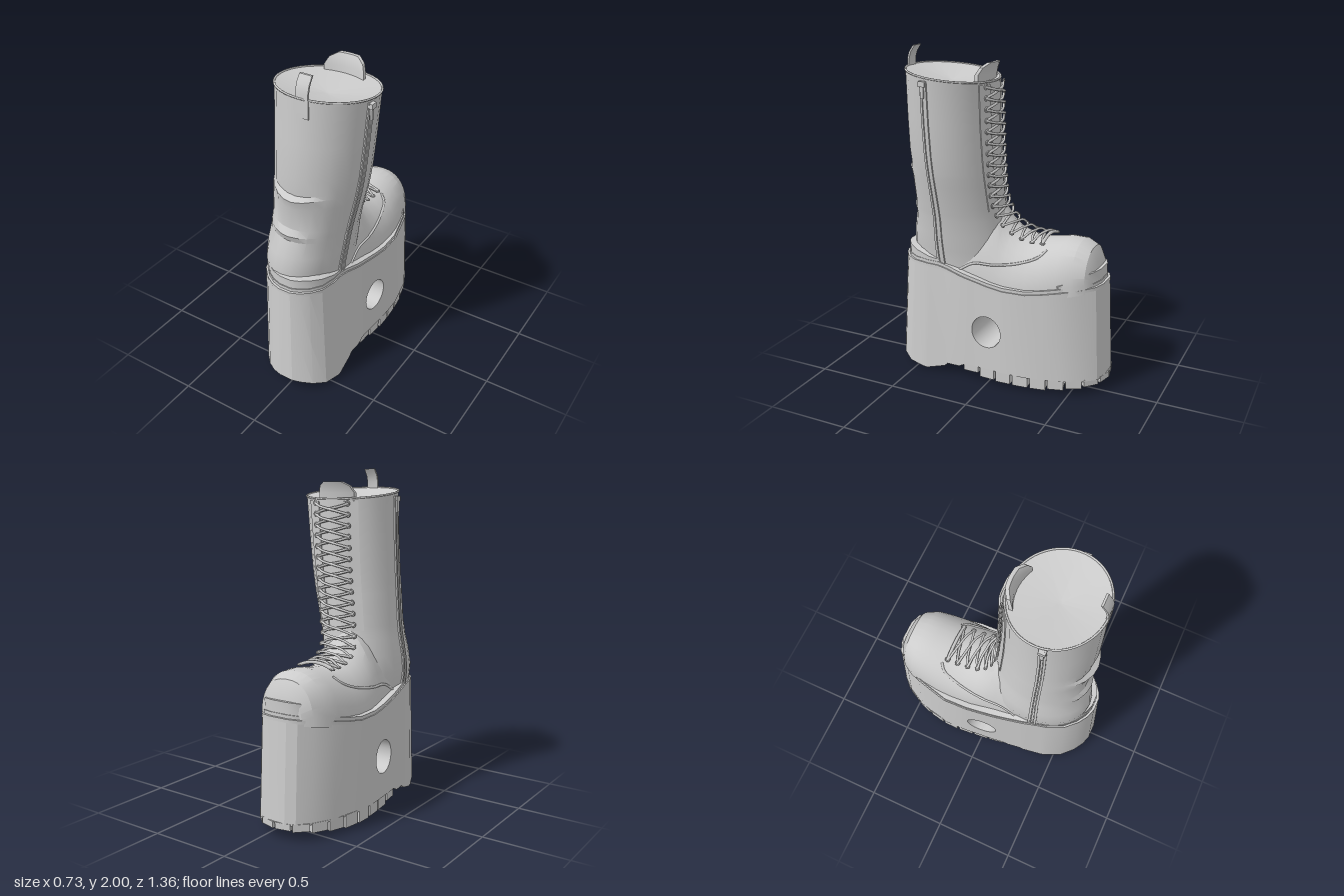
import * as THREE from 'three';
import { toCreasedNormals } from 'three/addons/utils/BufferGeometryUtils.js';

const V = (x, y, z) => new THREE.Vector3(x, y, z);
const { smoothstep, clamp } = THREE.MathUtils;
const leather = new THREE.MeshStandardMaterial({ color: 0xcccccc });
leather.name = 'light grey leather';

// Row of a table interpolated at t (first column ascending)
function row(table, t) {
  let i = 0;
  while (i < table.length - 2 && t > table[i + 1][0]) i++;
  const a = table[i], b = table[i + 1];
  const k = clamp((t - a[0]) / (b[0] - a[0]), 0, 1);
  return a.map((v, j) => v + (b[j] - v) * k);
}

// Geometry from a list of triangle corners, turned outward by its signed volume
function solid(pts, crease = 0.6) {
  let vol = 0;
  for (let i = 0; i < pts.length; i += 3) vol += pts[i].dot(V().crossVectors(pts[i + 1], pts[i + 2]));
  if (vol < 0) for (let i = 0; i < pts.length; i += 3) [pts[i], pts[i + 1]] = [pts[i + 1], pts[i]];
  const g = new THREE.BufferGeometry().setFromPoints(pts);
  return toCreasedNormals(g, crease);
}
const quad = (out, a, b, c, d, flip) => (flip ? out.push(a, c, b, a, d, c) : out.push(a, b, c, a, c, d));

// Skin over rings of equal length, capped at both ends or closed into a loop
function loft(rings, loop = false, crease) {
  const out = [], n = rings[0].length, m = rings.length;
  for (let i = 0; i < (loop ? m : m - 1); i++)
    for (let j = 0; j < n; j++) {
      const A = rings[i], B = rings[(i + 1) % m], k = (j + 1) % n;
      quad(out, A[j], A[k], B[k], B[j]);
    }
  if (!loop) [rings[0], rings[m - 1]].forEach((r, e) => {
    const c = r.reduce((s, p) => s.add(p), V(0, 0, 0)).divideScalar(n);
    r.forEach((p, j) => (e ? out.push(c, p, r[(j + 1) % n]) : out.push(c, r[(j + 1) % n], p)));
  });
  return solid(out, crease);
}

// Sole outline: z, right x, left x
const SOLE = [[-0.675, -0.14, -0.02], [-0.65, -0.2, 0.05], [-0.58, -0.26, 0.11], [-0.46, -0.325, 0.17], [-0.25, -0.37, 0.215],
  [-0.1, -0.365, 0.22], [0.1, -0.345, 0.21], [0.3, -0.315, 0.21], [0.45, -0.28, 0.22], [0.55, -0.235, 0.2],
  [0.62, -0.17, 0.15], [0.66, -0.11, 0.09], [0.68, -0.05, 0.04]];
const SOLE_TOP = [[-0.68, 0.675], [-0.5, 0.65], [-0.3, 0.615], [-0.15, 0.605], [0, 0.62], [0.2, 0.655], [0.35, 0.69], [0.68, 0.7]];
const SOLE_BOTTOM = [[0.15, 0.09], [0.2, 0.065], [0.28, 0.065], [0.3, 0.045], [0.42, 0.01], [0.55, 0.025], [0.68, 0.065]];
const LUG_BOTTOM = [[-0.67, 0.062], [-0.5, 0.038], [-0.3, 0.02], [0, 0.025], [0.17, 0.055]];
const topY = (z) => row(SOLE_TOP, z)[1];
const botY = (z) => row(SOLE_BOTTOM, z)[1];
const CX = -0.07;
function solePoint(s, z, y, k = 1) {
  const r = row(SOLE, z), t = y / 0.65;
  const taper = s > 0 ? 0.03 + 0.1 * smoothstep(z, 0.1, 0.45) : 0.03;
  return V(CX + (r[s > 0 ? 2 : 1] - CX) * (1 - taper * t) * k, y, z * (1 - 0.05 * t) * k);
}

// Shaft sections: y, right x, left x, toe-side z, heel-side z, depth of the heel-side fold
const SHAFT = [[0.64, -0.28, 0.16, -0.04, 0.6, 0], [0.72, -0.288, 0.166, -0.04, 0.605, 0], [0.8, -0.296, 0.18, -0.035, 0.608, 0],
  [0.9, -0.285, 0.198, -0.02, 0.593, 0], [1.0, -0.268, 0.212, -0.005, 0.572, -0.008], [1.04, -0.262, 0.222, 0, 0.568, 0.012],
  [1.08, -0.257, 0.23, 0.003, 0.565, -0.008], [1.22, -0.248, 0.265, 0.009, 0.56, 0.004], [1.275, -0.243, 0.278, 0.011, 0.56, 0.022],
  [1.3, -0.241, 0.283, 0.012, 0.56, -0.01], [1.4, -0.235, 0.3, 0.013, 0.56, 0], [1.6, -0.226, 0.322, 0.015, 0.555, 0],
  [1.855, -0.222, 0.344, 0.012, 0.548, 0]];
function shaftPoint(y, a, off = 0) {
  const [, x0, x1, z0, z1, fold] = row(SHAFT, y);
  const back = Math.max(0, Math.sin(a - 0.1)) ** 5;
  const x = (x0 + x1) / 2 + ((x1 - x0) / 2 + off) * Math.cos(a);
  const z = (z0 + z1) / 2 + ((z1 - z0) / 2 + off) * Math.sin(a) + fold * back;
  const tilt = (z - 0.28) * 0.11 * smoothstep(y, 1.3, 1.85);
  const droop = 0.04 * (1 - back) * Math.max(0, Math.sin(a)) * smoothstep(y, 1.1, 1.28) * (1 - smoothstep(y, 1.3, 1.5));
  return V(x, y + tilt + droop, z);
}

// Foot sections: z, right x, left x, top y, roundness
const FOOT = [[-0.612, -0.14, 0, 0.72, 2.4], [-0.598, -0.21, 0.05, 0.81, 2.4], [-0.56, -0.26, 0.1, 0.878, 2.4],
  [-0.49, -0.3, 0.14, 0.912, 2.3], [-0.4, -0.32, 0.16, 0.914, 2.2], [-0.3, -0.33, 0.18, 0.897, 2.1], [-0.22, -0.33, 0.185, 0.89, 2],
  [-0.14, -0.325, 0.185, 0.908, 1.9], [-0.07, -0.32, 0.18, 0.945, 1.8], [-0.02, -0.312, 0.177, 1.0, 1.7], [0.02, -0.306, 0.174, 1.07, 1.65],
  [0.07, -0.3, 0.17, 1.1, 1.6], [0.2, -0.29, 0.165, 1.08, 1.6], [0.35, -0.27, 0.155, 0.85, 1.8]];
function footPoint(z, a) {
  const [, x0, x1, h, p] = row(FOOT, z), c = Math.cos(a), b = topY(z) - 0.02;
  return V((x0 + x1) / 2 + (x1 - x0) / 2 * Math.sign(c) * Math.abs(c) ** (2 / p), b + (h - b) * Math.abs(Math.sin(a)) ** (2 / p), z);
}

export function createModel() {
  const boot = new THREE.Group();
  boot.name = 'platformBoot';
  const add = (name, geo, parent = boot) => {
    const m = new THREE.Mesh(geo, leather);
    m.name = name;
    parent.add(m);
    return m;
  };
  const group = (name) => { const g = new THREE.Group(); g.name = name; boot.add(g); return g; };
  const tube = (pts, r, seg = 12, closed = false) => new THREE.TubeGeometry(new THREE.CatmullRomCurve3(pts, closed), seg, r, 6, closed);

  // Platform in columns along z, with a round hole through its sides
  const HZ = 0.01, HY = 0.335, HR = 0.1;
  const zs = SOLE.map((r) => r[0]).filter((z) => Math.abs(z - HZ) > HR);
  for (let k = 0; k <= 16; k++) zs.push(HZ - HR * Math.cos(k * Math.PI / 16));
  zs.push(-0.36, 0.15, 0.2, 0.28, 0.37, 0.42);
  zs.sort((a, b) => a - b);
  const gap = (z) => Math.sqrt(Math.max(0, HR * HR - (z - HZ) ** 2));
  const out = [];
  for (let i = 0; i < zs.length - 1; i++) {
    const a = zs[i], b = zs[i + 1], open = gap(a) + gap(b) > 1e-5;
    const P = (s, z, f) => solePoint(s, z, f(z));
    const lo = (z) => HY - gap(z), hi = (z) => HY + gap(z);
    for (const [y0, y1] of [[botY, lo], [hi, topY]])
      for (const s of [1, -1]) quad(out, P(s, a, y0), P(s, a, y1), P(s, b, y1), P(s, b, y0), s < 0);
    const flats = [[topY, 0], [botY, 1]];
    if (open) flats.push([lo, 0], [hi, 1]);
    for (const [f, flip] of flats) quad(out, P(-1, a, f), P(-1, b, f), P(1, b, f), P(1, a, f), flip);
  }
  [zs[0], zs[zs.length - 1]].forEach((z, e) => quad(out, solePoint(-1, z, botY(z)), solePoint(-1, z, topY(z)),
    solePoint(1, z, topY(z)), solePoint(1, z, botY(z)), e));
  add('platformSole', solid(out, 0.35));

  // Welt and the toe and heel bands that follow the sole outline
  const loop = [...zs.map((z) => [1, z]), ...[...zs].reverse().map((z) => [-1, z])];
  const band = (list, k0, k1, y0, height) => list.map(([s, z]) => {
    const t = topY(z), y1 = y0 + height(z), at = (k, y) => solePoint(s, z, t, k).setY(t + y);
    return [at(k0, y0), at(k0, y1), at(k1, y1), at(k1, y0)];
  });
  add('welt', loft(band(loop, 1.003, 0.8, -0.012, () => 0.02), true));
  add('upperWelt', loft(band(loop, 0.98, 0.8, 0.006, () => 0.022), true));
  const h = loop.length / 2;
  const fromHeel = [...loop.slice(h), ...loop.slice(0, h)];
  add('toeBand', loft(band(fromHeel.filter((p) => p[1] < -0.44), 0.972, 0.85, 0.025, (z) => 0.02 + 0.05 * smoothstep(-z, 0.45, 0.65))));
  add('heelBand', loft(band(loop.filter((p) => p[1] > 0.36), 0.972, 0.85, 0.025, (z) => 0.02 + 0.038 * smoothstep(z, 0.38, 0.64))));

  // Tread lugs round the front part and cross bars in the middle
  const tread = group('tread');
  const edge = new THREE.CatmullRomCurve3(loop.filter((p, i) => i % 2 === 0).map(([s, z]) => solePoint(s, z, 0)), true);
  for (let i = 0; i < 30; i++) {
    const p = edge.getPointAt(i / 30), t = edge.getTangentAt(i / 30);
    if (p.z > 0.14) continue;
    const inward = V(t.z, 0, -t.x);
    if (inward.dot(V(CX - p.x, 0, -p.z)) < 0) inward.negate();
    const low = row(LUG_BOTTOM, p.z)[1];
    const lug = add('lug', new THREE.BoxGeometry(0.095, 0.1 - low, 0.13), tread);
    lug.position.copy(p).addScaledVector(inward, 0.071).setY((0.1 + low) / 2);
    lug.rotation.y = Math.atan2(inward.x, inward.z);
  }
  for (const z of [-0.45, -0.38, -0.31, -0.24, -0.17, -0.1, -0.03, 0.38, 0.43, 0.48]) {
    const bar = add('crossBar', new THREE.BoxGeometry(z > 0 ? 0.14 : 0.22, 0.08, 0.03), tread);
    bar.position.set(z > 0 ? -0.04 : CX, z > 0 ? 0.041 : 0.06, z);
  }

  // Foot and shaft
  const arc = (n, f) => Array.from({ length: n }, (_, i) => f(i));
  add('foot', loft(FOOT.map(([z]) => arc(19, (i) => footPoint(z, i * Math.PI / 18))), false, 0.45));
  const ring = (y) => arc(28, (i) => shaftPoint(y, i * Math.PI / 14));
  const rim = ring(1.855);
  const inner = rim.map((p) => V(0.06, 1.81, 0.29).lerp(p, 0.06).setY(1.81));
  add('shaft', loft([...SHAFT.map((r) => ring(r[0])), inner], false, 0.45));
  add('collarTrim', tube(rim, 0.006, 56, true));

  // Raised strips that follow the shaft: zips and lace facings
  const strip = (y0, y1, a0, a1, off) => loft(arc(15, (i) => {
    const y = y0 + (y1 - y0) * i / 14;
    return [[a0, -0.02], [a0, off], [a1, off], [a1, -0.02]].map(([a, o]) => shaftPoint(y, a, o));
  }));
  for (const s of [1, -1]) {
    const side = (a) => (s > 0 ? a : Math.PI - a);
    const zip = group(s > 0 ? 'leftZip' : 'rightZip');
    add('zipTapeFront', strip(0.7, 1.835, side(0.06), side(0.11), 0.008), zip);
    add('zipTapeBack', strip(0.7, 1.835, side(0.17), side(0.22), 0.008), zip);
    add('zipTeeth', strip(0.7, 1.835, side(0.12), side(0.16), 0.004), zip);
    const pull = add('zipPull', new THREE.BoxGeometry(0.01, 0.08, 0.02), zip);
    pull.position.copy(shaftPoint(1.78, side(0.14), 0.014));
    const slider = add('zipSlider', new THREE.BoxGeometry(0.03, 0.03, 0.04), zip);
    slider.position.copy(shaftPoint(1.82, side(0.14), 0.008));
    const mid = -Math.PI / 2 - 0.08;
    add('laceFacing', strip(1.06, 1.84, mid + s * 0.3, mid + s * 0.6, 0.006));
    // Seam where the side panel meets the toe part
    const seam = [[0.22, 0.16], [0.12, 0.34], [0, 0.42], [-0.12, 0.6], [-0.22, 0.76], [-0.28, 0.87], [-0.31, 1.05]];
    add('vampSeam', tube(seam.map(([z, a]) => footPoint(z, side(a))), 0.008, 28));
  }

  // Crossed laces with eyelets up the front
  const laces = group('laces');
  const path = new THREE.CatmullRomCurve3([V(0.04, 1.8, 0.008), V(0.02, 1.4, 0.007), V(-0.01, 1.12, -0.002), V(-0.04, 1.01, -0.033),
    V(-0.06, 0.945, -0.095), V(-0.065, 0.912, -0.19), V(-0.07, 0.91, -0.28)]);
  const onPath = (u, x, lift) => {
    const t = path.getTangentAt(u);
    return path.getPointAt(u).add(V(x, -t.z * lift, t.y * lift));
  };
  const rows = 17;
  for (let i = 0; i <= rows; i++) {
    const u = i / rows;
    for (const s of [1, -1]) {
      const e = add('eyelet', new THREE.TorusGeometry(0.012, 0.005, 6, 10), laces);
      e.position.copy(onPath(u, s * 0.115, -0.018));
      e.lookAt(onPath(u, s * 0.13, 0.1));
      if (i === rows) continue;
      const v = (i + 1) / rows, m = (u + v) / 2, lift = s > 0 ? 0.016 : 0.006;
      add('lace', tube([onPath(u, s * 0.12, -0.022), onPath(u * 0.7 + v * 0.3, s * 0.06, lift - 0.004), onPath(m, 0, lift),
        onPath(u * 0.3 + v * 0.7, -s * 0.06, lift - 0.004), onPath(v, -s * 0.12, -0.022)], 0.008), laces);
    }
  }
  add('lastLace', tube([-0.12, -0.06, 0, 0.06, 0.12].map((x) => onPath(1, x, 0.01 - x * x * 2)), 0.011), laces);

  // Curved tongue above the collar
  const tongueRows = [[1.75, 0.12, 0.05], [1.86, 0.125, 0.042], [1.9, 0.105, 0.03], [1.925, 0.06, 0.018]];
  add('tongue', loft(tongueRows.map(([y, w, z]) => {
    const edgeAt = (d) => arc(7, (i) => { const k = i / 3 - 1; return V(0.035 + k * w, y, z + d + 0.03 * (k * w / 0.125) ** 2); });
    return [...edgeAt(0), ...edgeAt(0.022).reverse()];
  })));

  // Pull tab at the back of the collar
  const tab = [[1.78, 0.552], [1.87, 0.55], [1.92, 0.548], [1.96, 0.536], [2.0, 0.508]];
  add('pullTab', loft(tab.map(([y, z]) => [V(0.045, y, z), V(0.12, y, z), V(0.12, y, z - 0.012), V(0.045, y, z - 0.012)])));
  return boot;
}
